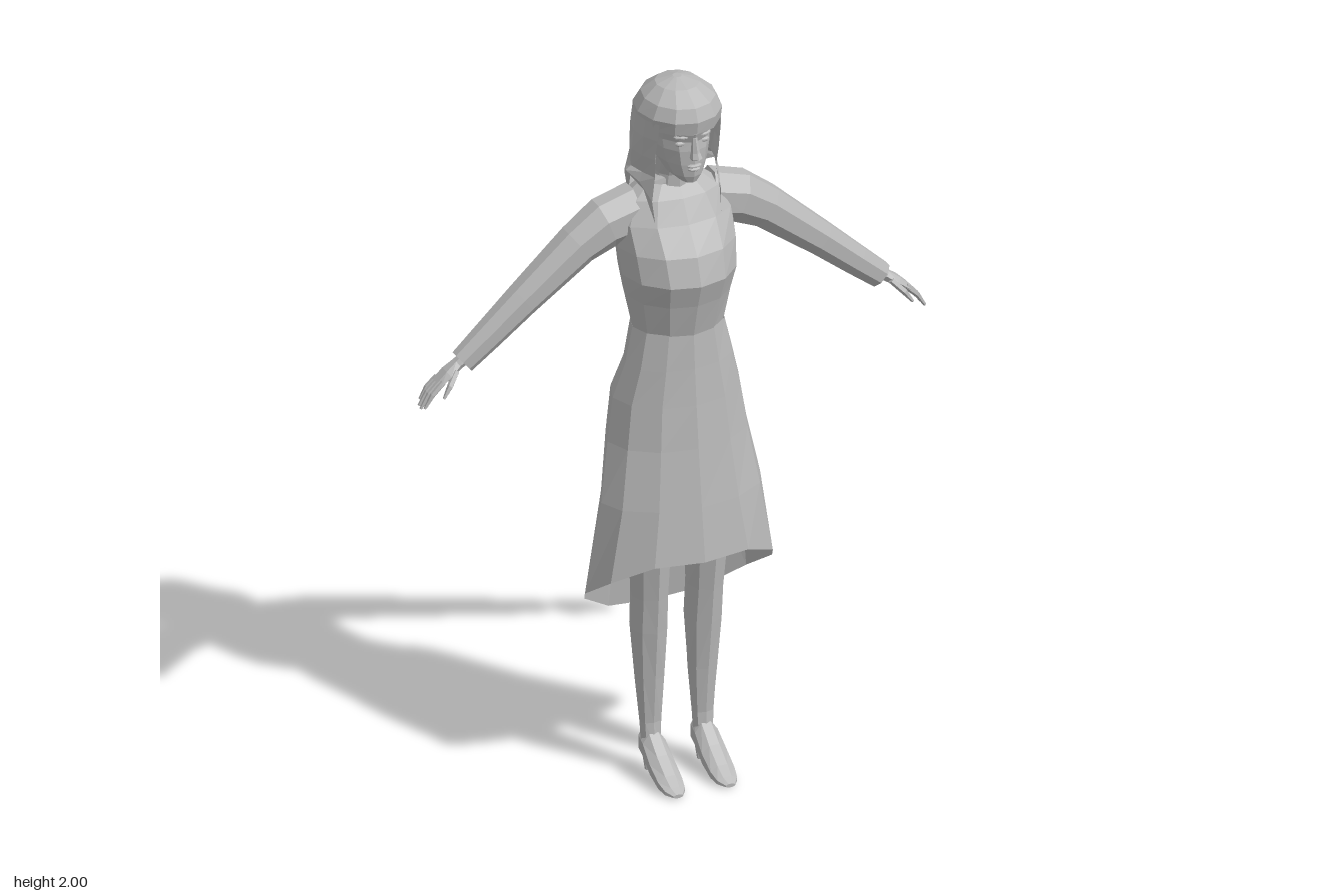
import * as THREE from 'three';
import { mergeGeometries } from 'three/addons/utils/BufferGeometryUtils.js';

const clay = new THREE.MeshStandardMaterial({ color: 0xb8b8b8, flatShading: true, side: THREE.DoubleSide });
clay.name = 'plain grey';

const V = (x, y, z) => new THREE.Vector3(x, y, z);
const rad = THREE.MathUtils.degToRad;

// Skin a list of equal rings; caps are fans around the ring centre
function loft(rings, { closed = true, start = false, end = false } = {}) {
  const pos = [], n = rings[0].length;
  const tri = (...p) => p.forEach(v => pos.push(v.x, v.y, v.z));
  for (let i = 0; i < rings.length - 1; i++)
    for (let j = 0; j < (closed ? n : n - 1); j++) {
      const k = (j + 1) % n, [a, b] = [rings[i], rings[i + 1]];
      tri(a[j], a[k], b[k]);
      tri(a[j], b[k], b[j]);
    }
  const cap = (r, flip) => {
    const c = r.reduce((s, p) => s.add(p), V(0, 0, 0)).divideScalar(n);
    r.forEach((p, j) => flip ? tri(c, r[(j + 1) % n], p) : tri(c, p, r[(j + 1) % n]));
  };
  if (start) cap(rings[0], true);
  if (end) cap(rings.at(-1), false);
  const g = new THREE.BufferGeometry();
  g.setAttribute('position', new THREE.Float32BufferAttribute(pos, 3));
  g.computeVertexNormals();
  return g;
}

// Horizontal ring point: half width w, front zf, back zb, angle t from the front
function ringPoint(y, w, zf, zb, t) {
  const zc = (zf + zb) / 2;
  return V(w * Math.sin(t), y, zc + Math.cos(t) * (zf - zb) / 2);
}
const ring = ([y, w, zf, zb], n = 12) =>
  Array.from({ length: n }, (_, j) => ringPoint(y, w, zf, zb, j / n * Math.PI * 2));

// Limb along a path in the xy plane; rows are [x, y, z, radius, z radius]
function limb(rows, n = 8) {
  return loft(rows.map(([x, y, z, ra, rb], i) => {
    const a = rows[Math.max(0, i - 1)], b = rows[Math.min(rows.length - 1, i + 1)];
    const l = Math.hypot(b[0] - a[0], b[1] - a[1]);
    const nx = -(b[1] - a[1]) / l, ny = (b[0] - a[0]) / l;
    return Array.from({ length: n }, (_, j) => {
      const t = (j + 0.5) / n * Math.PI * 2, c = Math.cos(t) * ra;
      return V(x + nx * c, y + ny * c, z + Math.sin(t) * rb);
    });
  }), { start: true, end: true });
}

function mirrored(g) {
  const m = g.clone().scale(-1, 1, 1), p = m.attributes.position;
  for (let i = 0; i < p.count; i += 3) {
    const a = new THREE.Vector3().fromBufferAttribute(p, i + 1);
    const b = new THREE.Vector3().fromBufferAttribute(p, i + 2);
    p.setXYZ(i + 1, b.x, b.y, b.z);
    p.setXYZ(i + 2, a.x, a.y, a.z);
  }
  m.computeVertexNormals();
  return m;
}

export function createModel() {
  const model = new THREE.Group();
  model.name = 'woman';
  const add = (name, g) => {
    const m = new THREE.Mesh(g, clay);
    m.name = name;
    model.add(m);
    return m;
  };
  const addPair = (name, g) => {
    add(name + 'Left', g);
    add(name + 'Right', mirrored(g));
  };

  // Skirt with a hem that drops towards the back
  const hemY = [0.67, 0.67, 0.62, 0.56, 0.5, 0.43, 0.41];
  const hem = ring([0, 0.265, 0.175, -0.155]);
  hem.forEach((p, j) => { p.y = hemY[Math.min(j, 12 - j)]; });
  add('skirt', loft([hem, ...[
    [0.82, 0.225, 0.155, -0.11], [0.98, 0.196, 0.135, -0.138], [1.1, 0.178, 0.122, -0.14],
    [1.2, 0.15, 0.112, -0.098], [1.3, 0.127, 0.105, -0.1]].map(r => ring(r))]));

  // Bodice up to the neckline
  add('bodice', loft([
    [1.29, 0.123, 0.104, -0.105], [1.39, 0.142, 0.13, -0.138], [1.455, 0.155, 0.152, -0.15],
    [1.53, 0.162, 0.128, -0.152], [1.6, 0.165, 0.075, -0.135], [1.66, 0.135, 0.04, -0.11],
    [1.695, 0.09, 0.012, -0.085], [1.715, 0.055, 0.012, -0.075]].map(r => ring(r))));

  // Sleeves
  addPair('sleeve', limb([
    [0.1, 1.615, -0.04, 0.078, 0.06], [0.19, 1.595, -0.038, 0.072, 0.06], [0.265, 1.55, -0.037, 0.06, 0.054],
    [0.42, 1.425, -0.036, 0.048, 0.044], [0.52, 1.34, -0.036, 0.042, 0.036], [0.592, 1.28, -0.036, 0.037, 0.03]]));

  // Hands: palm, four fingers and a thumb
  const fingers = [-0.056, -0.042, -0.027, -0.012].map((z, i) => {
    const s = [0.82, 0.97, 1, 0.92][i];
    return limb([
      [0.655, 1.243, -0.034 + (z + 0.034) * 0.9, 0.009, 0.007], [0.655 + 0.034 * s, 1.243 - 0.032 * s, z, 0.008, 0.0065],
      [0.655 + 0.058 * s, 1.243 - 0.07 * s, z, 0.004, 0.004]], 5);
  });
  const thumb = limb([[0.615, 1.267, -0.018, 0.009, 0.009], [0.643, 1.238, 0.003, 0.009, 0.008],
    [0.664, 1.208, 0.01, 0.004, 0.004]], 5);
  const palm = limb([[0.57, 1.3, -0.036, 0.02, 0.017], [0.605, 1.277, -0.036, 0.016, 0.018],
    [0.635, 1.257, -0.035, 0.015, 0.029], [0.664, 1.235, -0.034, 0.01, 0.029]], 6);
  addPair('hand', mergeGeometries([palm, thumb, ...fingers]));

  // Legs; rows are [y, centre x, half width, front z, back z]
  addPair('leg', loft([
    [0.09, 0.074, 0.028, 0.025, -0.025], [0.15, 0.074, 0.031, 0.02, -0.024], [0.28, 0.075, 0.042, 0.032, -0.045],
    [0.42, 0.077, 0.05, 0.048, -0.066], [0.52, 0.078, 0.049, 0.058, -0.06], [0.62, 0.08, 0.053, 0.07, -0.062],
    [0.95, 0.088, 0.075, 0.085, -0.085]].map(([y, cx, w, zf, zb]) => {
    const r = ring([y, w, zf, zb], 8);
    r.forEach(p => { p.x += cx; });
    return r;
  })));

  // Pointed shoes; rows are [z, bottom, top, half width]
  const shoe = loft([
    [-0.034, 0.06, 0.105, 0.015], [-0.018, 0.042, 0.13, 0.027], [0.02, 0.038, 0.12, 0.032],
    [0.07, 0.012, 0.078, 0.035], [0.12, 0, 0.043, 0.034], [0.15, 0, 0.024, 0.028],
    [0.17, 0.002, 0.012, 0.013]].map(([z, lo, hi, w]) =>
    Array.from({ length: 8 }, (_, j) => {
      const t = (j + 0.5) / 8 * Math.PI * 2;
      return V(0.074 + w * Math.cos(t) / 0.924, (lo + hi) / 2 + (hi - lo) / 2 * Math.sin(t) / 0.924, z);
    })), { start: true, end: true });
  const heel = new THREE.CylinderGeometry(0.018, 0.008, 0.065, 6).toNonIndexed();
  heel.translate(0.074, 0.0325, -0.018).deleteAttribute('uv');
  addPair('shoe', mergeGeometries([shoe, heel]));

  // Neck and head
  add('neck', loft([[1.67, 0.058, 0.02, -0.085], [1.72, 0.048, 0.02, -0.068], [1.79, 0.047, 0.045, -0.06]]
    .map(r => ring(r, 10))));
  add('head', loft([
    [1.735, 0.024, 0.1, 0.03], [1.755, 0.048, 0.108, -0.03], [1.79, 0.066, 0.112, -0.08],
    [1.83, 0.075, 0.112, -0.095], [1.855, 0.077, 0.108, -0.1], [1.88, 0.08, 0.118, -0.1],
    [1.93, 0.076, 0.112, -0.09], [1.97, 0.045, 0.06, -0.055]].map(r => ring(r)), { start: true, end: true }));

  // Face details
  add('nose', loft([
    [1.806, 0.011, 0.12, 0.1], [1.815, 0.016, 0.138, 0.1], [1.83, 0.011, 0.129, 0.1],
    [1.87, 0.007, 0.116, 0.1]].map(r => ring(r, 6)), { start: true, end: true }));
  const bump = (name, x, y, z, sx, sy, sz) => {
    const m = add(name, new THREE.SphereGeometry(1, 8, 5));
    m.position.set(x, y, z);
    m.scale.set(sx, sy, sz);
    return m;
  };
  bump('upperLip', 0, 1.788, 0.109, 0.022, 0.005, 0.011);
  bump('lowerLip', 0, 1.777, 0.107, 0.018, 0.006, 0.011);
  for (const s of [-1, 1]) {
    bump('eye', s * 0.034, 1.851, 0.094, 0.015, 0.007, 0.008);
    bump('brow', s * 0.035, 1.872, 0.1, 0.02, 0.005, 0.009).rotation.y = s * 0.4;
    bump('ear', s * 0.08, 1.835, -0.005, 0.012, 0.03, 0.018);
  }

  // Hair crown with a fringe
  add('hairCrown', loft([
    [1.885, 0.11, 0.125, -0.132], [1.92, 0.113, 0.131, -0.125], [1.955, 0.095, 0.116, -0.102],
    [1.985, 0.058, 0.063, -0.06], [2, 0.012, 0.014, -0.012]].map(r => ring(r)), { end: true }));

  // Long hair, open at the face, ending in uneven wavy tips
  const tips = [1.62, 1.7, 1.725, 1.7, 1.62, 1.61, 1.575];
  const hairRow = (y, w, zf, zb, drop = 0, wave = 0) => Array.from({ length: 13 }, (_, j) => {
    const k = 1 - (j % 2) * wave;
    const low = tips[Math.min(j, 12 - j)];
    return ringPoint(y + (low - y) * drop, w * k, zf * k, zb * k, rad(50 + 260 * j / 12));
  });
  add('longHair', loft([
    hairRow(1.74, 0.122, 0.12, -0.158, 1, 0.1), hairRow(1.74, 0.127, 0.11, -0.174, 0.5, 0.07),
    hairRow(1.745, 0.113, 0.1, -0.16, 0, 0.05), hairRow(1.8, 0.118, 0.105, -0.14, 0, 0.03),
    hairRow(1.86, 0.116, 0.12, -0.133), hairRow(1.91, 0.113, 0.128, -0.126)], { closed: false }));

  return model;
}
